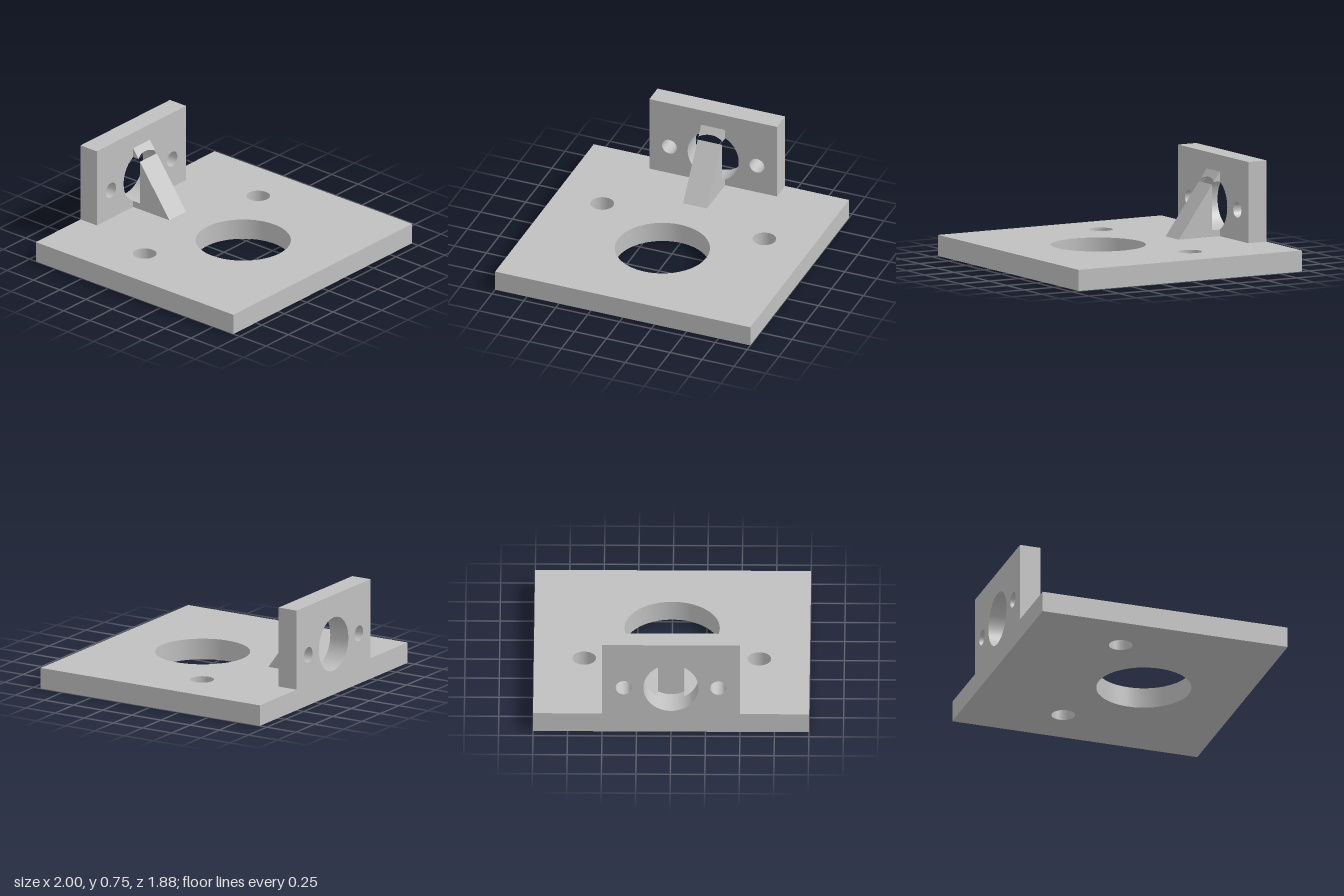
import * as THREE from 'three';
import { toCreasedNormals } from 'three/addons/utils/BufferGeometryUtils.js';

const BASE_TOP = 0.155, BACK = -0.94, WALL_FRONT = -0.785;
const BORE_Y = 0.38, BORE_R = 0.2, BORE_END = -0.72;
const RIB_W = 0.094, RIB_FRONT = -0.44, RIB_TOP = 0.627;

// Rectangle with round holes given as [x, y, radius]
function plateShape(x0, y0, x1, y1, holes) {
  const shape = new THREE.Shape([[x0, y0], [x1, y0], [x1, y1], [x0, y1]].map(p => new THREE.Vector2(...p)));
  for (const [x, y, r] of holes) {
    shape.holes.push(new THREE.Path().absarc(x, y, r, 0, Math.PI * 2, true));
  }
  return shape;
}

const extrude = (shape, depth) =>
  new THREE.ExtrudeGeometry(shape, { depth, bevelEnabled: false, curveSegments: 48 });

// Depth of the sloped rib face at height y
const slopeZ = y => RIB_FRONT + (WALL_FRONT - RIB_FRONT) * (y - BASE_TOP) / (RIB_TOP - BASE_TOP);
const slopeY = z => BASE_TOP + (RIB_TOP - BASE_TOP) * (z - RIB_FRONT) / (WALL_FRONT - RIB_FRONT);

export function createModel() {
  const model = new THREE.Group();
  model.name = 'mountingBracket';
  const grey = new THREE.MeshStandardMaterial({ color: 0xc0c0c0 });
  grey.name = 'grey';

  function add(name, geometry, parent = model) {
    const mesh = new THREE.Mesh(toCreasedNormals(geometry, 0.5), grey);
    mesh.name = name;
    parent.add(mesh);
  }

  // Base plate with a large bore and two bolt holes (shape y is -z)
  const base = extrude(plateShape(-1, -0.94, 1, 0.94,
    [[0, -0.183, 0.345], [-0.635, 0.215, 0.086], [0.635, 0.215, 0.086]]), BASE_TOP);
  add('basePlate', base.rotateX(-Math.PI / 2));

  // Upright plate with its own bore and bolt holes
  const wall = extrude(plateShape(-0.5, BASE_TOP, 0.5, 0.75,
    [[0, BORE_Y, BORE_R], [-0.343, BORE_Y, 0.058], [0.343, BORE_Y, 0.058]]), WALL_FRONT - BACK);
  add('uprightPlate', wall.translate(0, 0, BACK));

  // Gusset rib, partly cut away where the bore runs on into it
  const rib = new THREE.Group();
  rib.name = 'gussetRib';
  model.add(rib);

  const wedge = new THREE.Shape([
    new THREE.Vector2(-BORE_END, BASE_TOP),
    new THREE.Vector2(-BORE_END, slopeY(BORE_END)),
    new THREE.Vector2(-RIB_FRONT, BASE_TOP),
  ]);
  add('ribWedge', extrude(wedge, 2 * RIB_W).rotateY(Math.PI / 2).translate(-RIB_W, 0, 0), rib);

  // Strip of rib left under the bore
  const a = Math.asin(RIB_W / BORE_R);
  const floor = new THREE.Shape();
  floor.moveTo(-RIB_W, BASE_TOP);
  floor.lineTo(RIB_W, BASE_TOP);
  floor.absarc(0, BORE_Y, BORE_R, -Math.PI / 2 + a, -Math.PI / 2 - a, true);
  add('ribFoot', extrude(floor, BORE_END - WALL_FRONT).translate(0, 0, WALL_FRONT), rib);

  // Tip of rib left above the bore, its front face moved onto the slope
  const tip = new THREE.Shape();
  tip.moveTo(RIB_W, RIB_TOP);
  tip.lineTo(-RIB_W, RIB_TOP);
  tip.absarc(0, BORE_Y, BORE_R, Math.PI / 2 + a, Math.PI / 2 - a, true);
  const tipGeometry = extrude(tip, 1);
  const p = tipGeometry.attributes.position;
  for (let i = 0; i < p.count; i++) {
    p.setZ(i, p.getZ(i) > 0.5 ? slopeZ(p.getY(i)) : WALL_FRONT);
  }
  add('ribTip', tipGeometry, rib);

  return model;
}
